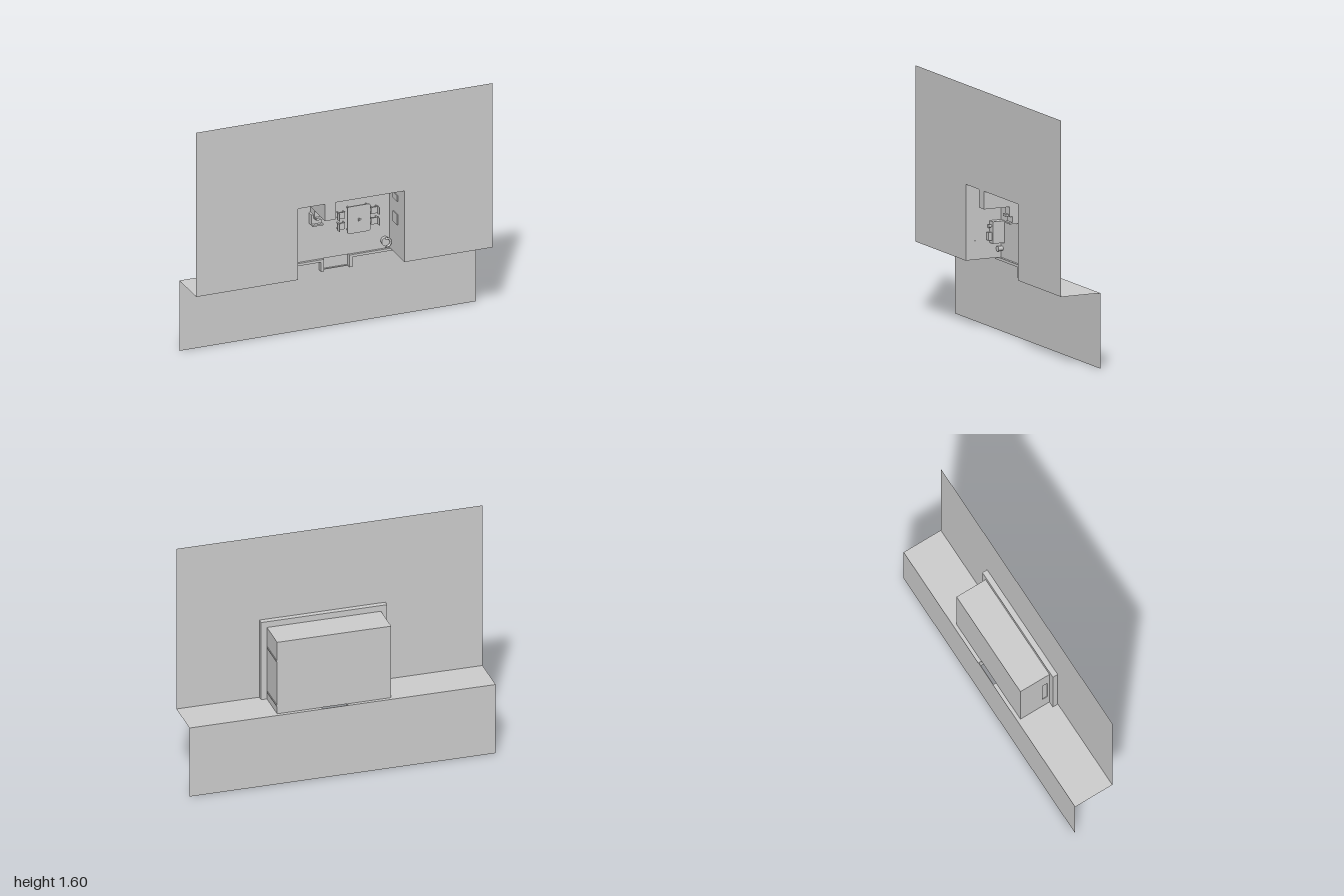
import * as THREE from 'three';

export function createModel() {
  const root = new THREE.Group();
  const gray = new THREE.MeshStandardMaterial({ color: 0xcccccc, side: THREE.DoubleSide });
  gray.name = 'plain gray';
  const F = -0.11, Z = 0.137; // floor depth and half of the overall depth

  const add = (name, geo, parent = root) => {
    const m = new THREE.Mesh(geo, gray);
    m.name = name;
    parent.add(m);
    return m;
  };
  // box given by its limits on each axis
  const box = (name, x0, x1, y0, y1, z0, z1, parent) => {
    const m = add(name, new THREE.BoxGeometry(x1 - x0, y1 - y0, z1 - z0), parent);
    m.position.set((x0 + x1) / 2, (y0 + y1) / 2, (z0 + z1) / 2);
    return m;
  };
  // round item standing on the room floor, its axis along z
  const round = (name, x, y, z0, z1, r, r2 = r, parent = root) => {
    const m = add(name, new THREE.CylinderGeometry(r2, r, z1 - z0, 20), parent);
    m.rotation.x = Math.PI / 2;
    m.position.set(x, y, (z0 + z1) / 2);
    return m;
  };
  const polygon = (pts) => new THREE.Shape(pts.map(([x, y]) => new THREE.Vector2(x, y)));

  // stepped sheet: upper panel with the room cut out, shelf and lower panel
  add('upperPanel', new THREE.ShapeGeometry(polygon([
    [-1, 0.48], [-0.313, 0.48], [-0.313, 0.965], [-0.13, 0.965], [-0.13, 0.85], [-0.06, 0.85],
    [-0.06, 0.965], [0.405, 0.965], [0.405, 0.48], [1, 0.48], [1, 1.6], [-1, 1.6],
  ]))).position.z = Z;
  const shelf = add('shelf', new THREE.ShapeGeometry(polygon([
    [-1, -Z], [-1, Z], [-0.04, Z], [-0.04, -F], [0.13, -F], [0.13, Z], [1, Z],
    [1, -Z], [0.405, -Z], [0.405, -F], [-0.313, -F], [-0.313, -Z],
  ])));
  shelf.rotation.x = -Math.PI / 2;
  shelf.position.y = 0.48;
  add('lowerPanel', new THREE.PlaneGeometry(2, 0.48)).position.set(0, 0.24, -Z);

  // room shell
  box('roomFloor', -0.325, 0.42, 0.48, 0.98, F - 0.004, F);
  box('topWall', -0.325, 0.42, 0.965, 0.98, F, 0.1);
  box('leftWall', 0.405, 0.42, 0.48, 0.965, F, 0.1);
  box('partition', -0.13, -0.06, 0.85, 0.965, F, Z - 0.001);
  for (const y of [0.53, 0.84]) box('wallStrip', 0.42, 0.424, y, y + 0.01, F, 0.09);

  // right wall with a narrow window
  const wall = polygon([[F, 0.48], [0.1, 0.48], [0.1, 0.965], [F, 0.965]]);
  wall.holes.push(new THREE.Path(
    [[0.05, 0.6], [0.05, 0.84], [0.085, 0.84], [0.085, 0.6]].map(([x, y]) => new THREE.Vector2(x, y))));
  const rightWall = add('rightWall', new THREE.ExtrudeGeometry(wall, { depth: 0.012, bevelEnabled: false }));
  rightWall.rotation.y = -Math.PI / 2;
  rightWall.position.x = -0.313;
  box('windowPane', -0.321, -0.317, 0.6, 0.84, 0.05, 0.085);

  // rim around the room mouth
  box('rimRight', -0.365, -0.313, 0.48, 1.02, 0.1, Z - 0.001);
  box('rimLeft', 0.405, 0.458, 0.48, 1.02, 0.1, Z - 0.001);
  box('rimTop', -0.313, 0.405, 0.965, 1.02, 0.1, Z - 0.001);

  // low front wall that steps down around the porch
  const rail = add('frontRail', new THREE.ExtrudeGeometry(polygon([
    [-0.37, 0.479], [-0.37, 0.462], [-0.06, 0.462], [-0.06, 0.395], [-0.04, 0.395], [-0.04, 0.479],
  ]), { depth: 0.04, bevelEnabled: false }));
  rail.position.z = -0.136;
  const rail2 = add('frontRail', new THREE.ExtrudeGeometry(polygon([
    [0.458, 0.479], [0.458, 0.462], [0.152, 0.462], [0.152, 0.395], [0.132, 0.395], [0.132, 0.479],
  ]), { depth: 0.04, bevelEnabled: false }));
  rail2.position.z = -0.136;
  box('porchSill', -0.04, 0.132, 0.395, 0.402, -0.136, -0.126);
  box('porchFloor', -0.04, 0.132, 0.402, 0.48, -0.136, -0.132);

  // dining table with rounded corners
  const top = new THREE.Shape();
  const [hw, hh, r] = [0.078, 0.092, 0.014];
  [[hw - r, hh - r, 0], [r - hw, hh - r, 1], [r - hw, r - hh, 2], [hw - r, r - hh, 3]].forEach(
    ([x, y, q]) => top.absarc(x, y, r, q * Math.PI / 2, (q + 1) * Math.PI / 2));
  const table = new THREE.Group();
  table.name = 'table';
  table.position.set(0.183, 0.728, F);
  root.add(table);
  add('tableTop', new THREE.ExtrudeGeometry(top, { depth: 0.008, bevelEnabled: false }), table).position.z = 0.034;
  for (const x of [-0.062, 0.062]) for (const y of [-0.075, 0.075])
    box('tableLeg', x - 0.005, x + 0.005, y - 0.005, y + 0.005, 0, 0.034, table);
  round('tableVase', 0, 0, 0.042, 0.055, 0.006, 0.008, table);
  box('tableLeaf', -0.012, 0.012, -0.003, 0.003, 0.055, 0.058, table).rotation.z = 0.6;

  // four chairs facing the table
  for (const side of [-1, 1]) for (const y of [0.69, 0.763]) {
    const chair = new THREE.Group();
    chair.name = 'chair';
    chair.position.set(0.183 + side * 0.112, y, F);
    if (side < 0) chair.rotation.z = Math.PI;
    root.add(chair);
    box('chairSeat', -0.024, 0.02, -0.022, 0.022, 0.022, 0.028, chair);
    box('chairBack', 0.02, 0.025, -0.024, 0.024, 0.022, 0.055, chair);
    for (const x of [-0.02, 0.018]) for (const v of [-0.018, 0.018])
      box('chairLeg', x - 0.003, x + 0.003, v - 0.003, v + 0.003, 0, 0.022, chair);
  }

  // counters along the top wall, with items on them
  box('counter', -0.313, -0.24, 0.917, 0.965, F, -0.035);
  box('counter', -0.24, -0.13, 0.917, 0.965, F, -0.045);
  box('counter', -0.06, 0.11, 0.917, 0.965, F, -0.04);
  box('counter', 0.11, 0.265, 0.93, 0.965, F, -0.05);
  box('counter', 0.265, 0.405, 0.93, 0.965, F, -0.04);
  box('counterScreen', 0.12, 0.25, 0.95, 0.957, -0.05, -0.01);
  for (const [x, s] of [[-0.215, 0.014], [-0.165, 0.015], [-0.01, 0.011], [0.025, 0.014], [0.055, 0.014]])
    round('counterPot', x, 0.945, -0.045, -0.025, s * 0.7, s);

  // cabinet and chair below the partition
  box('partitionCabinet', -0.125, -0.065, 0.785, 0.85, F, -0.045);
  box('deskSeat', -0.138, -0.066, 0.745, 0.81, F, -0.065);
  box('deskSeatBack', -0.138, -0.066, 0.737, 0.747, F, -0.045);
  box('deskScreen', -0.12, -0.08, 0.785, 0.8, -0.045, -0.025);

  // dresser and stool by the right wall
  box('dresser', -0.313, -0.265, 0.58, 0.72, F, -0.03);
  box('dresserBox', -0.308, -0.28, 0.6, 0.65, -0.03, -0.005);
  round('dresserLamp', -0.29, 0.69, -0.03, -0.01, 0.008, 0.012);
  round('stool', -0.293, 0.54, F, -0.075, 0.013, 0.018);

  // rounded armchair in the corner and frames on the left wall
  round('armchairSeat', 0.372, 0.535, F, -0.08, 0.026, 0.03);
  const back = add('armchairBack', new THREE.TorusGeometry(0.027, 0.007, 8, 20, Math.PI * 1.2));
  back.position.set(0.371, 0.535, -0.07);
  back.rotation.z = -Math.PI * 0.6;
  for (const [a, b] of [[0.69, 0.76], [0.85, 0.89]]) box('wallFrame', 0.399, 0.405, a, b, -0.04, 0.03);

  return root;
}
